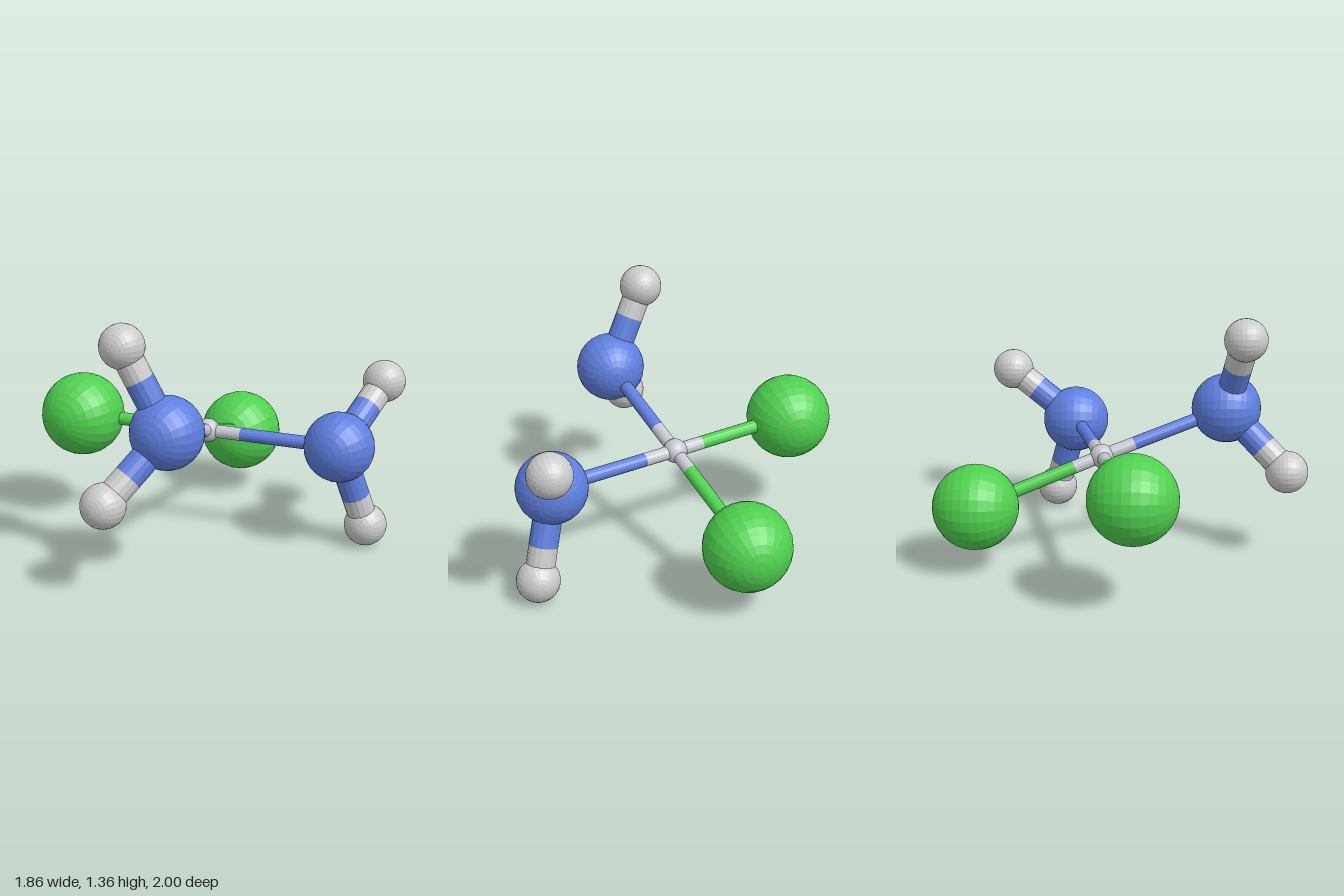
import * as THREE from 'three';

// Atom kinds: colour and ball radius
const KINDS = {
  metal: { color: 0xc8c8d2, radius: 0.065 },
  green: { color: 0x4fd04f, radius: 0.23 },
  blue: { color: 0x5f7fdf, radius: 0.188 },
  grey: { color: 0xcccccc, radius: 0.115 },
};

// Atom name: kind and centre
const ATOMS = {
  centreAtom: ['metal', 0, 0.59, -0.11],
  greenAtomLeft: ['green', -0.7, 0.61, 0.09],
  greenAtomBack: ['green', -0.2, 0.36, -0.77],
  blueAtomFront: ['blue', 0.2, 0.81, 0.555],
  blueAtomSide: ['blue', 0.7, 0.575, -0.31],
  greyAtomFrontUpper: ['grey', 0, 1.24, 0.645],
  greyAtomFrontLower: ['grey', 0.05, 0.5, 0.885],
  greyAtomSideUpper: ['grey', 0.765, 0.855, -0.68],
  greyAtomSideLower: ['grey', 0.81, 0.115, -0.435],
};

// Bonds: from, to, rod radius
const THIN = 0.036, THICK = 0.076;
const BONDS = [
  ['centreAtom', 'greenAtomLeft', THIN],
  ['centreAtom', 'greenAtomBack', THIN],
  ['centreAtom', 'blueAtomFront', THIN],
  ['centreAtom', 'blueAtomSide', THIN],
  ['blueAtomFront', 'greyAtomFrontUpper', THICK],
  ['blueAtomFront', 'greyAtomFrontLower', THICK],
  ['blueAtomSide', 'greyAtomSideUpper', THICK],
  ['blueAtomSide', 'greyAtomSideLower', THICK],
];

// Straight rod between two points
function rod(a, b, radius, material, name) {
  const dir = b.clone().sub(a);
  const mesh = new THREE.Mesh(new THREE.CylinderGeometry(radius, radius, dir.length(), 16), material);
  mesh.position.copy(a).lerp(b, 0.5);
  mesh.quaternion.setFromUnitVectors(new THREE.Vector3(0, 1, 0), dir.normalize());
  mesh.name = name;
  return mesh;
}

export function createModel() {
  const model = new THREE.Group();
  model.name = 'ballAndStickMolecule';

  const materials = {}, balls = {};
  for (const [kind, { color, radius }] of Object.entries(KINDS)) {
    materials[kind] = new THREE.MeshStandardMaterial({ color, flatShading: true });
    // poles face front and back
    balls[kind] = new THREE.SphereGeometry(radius, 24, 16).rotateX(Math.PI / 2);
  }

  // Atoms
  const centres = {};
  for (const [name, [kind, x, y, z]] of Object.entries(ATOMS)) {
    centres[name] = new THREE.Vector3(x, y, z);
    const ball = new THREE.Mesh(balls[kind], materials[kind]);
    ball.position.copy(centres[name]);
    ball.name = name;
    model.add(ball);
  }

  // Two-tone bonds, split in proportion to the ball radii
  for (const [from, to, radius] of BONDS) {
    const kindA = ATOMS[from][0], kindB = ATOMS[to][0];
    const rA = KINDS[kindA].radius, rB = KINDS[kindB].radius;
    const split = centres[from].clone().lerp(centres[to], rA / (rA + rB));
    const bond = new THREE.Group();
    bond.name = `bond_${from}_${to}`;
    bond.add(
      rod(centres[from], split, radius, materials[kindA], 'innerHalf'),
      rod(split, centres[to], radius, materials[kindB], 'outerHalf'),
    );
    model.add(bond);
  }
  return model;
}
